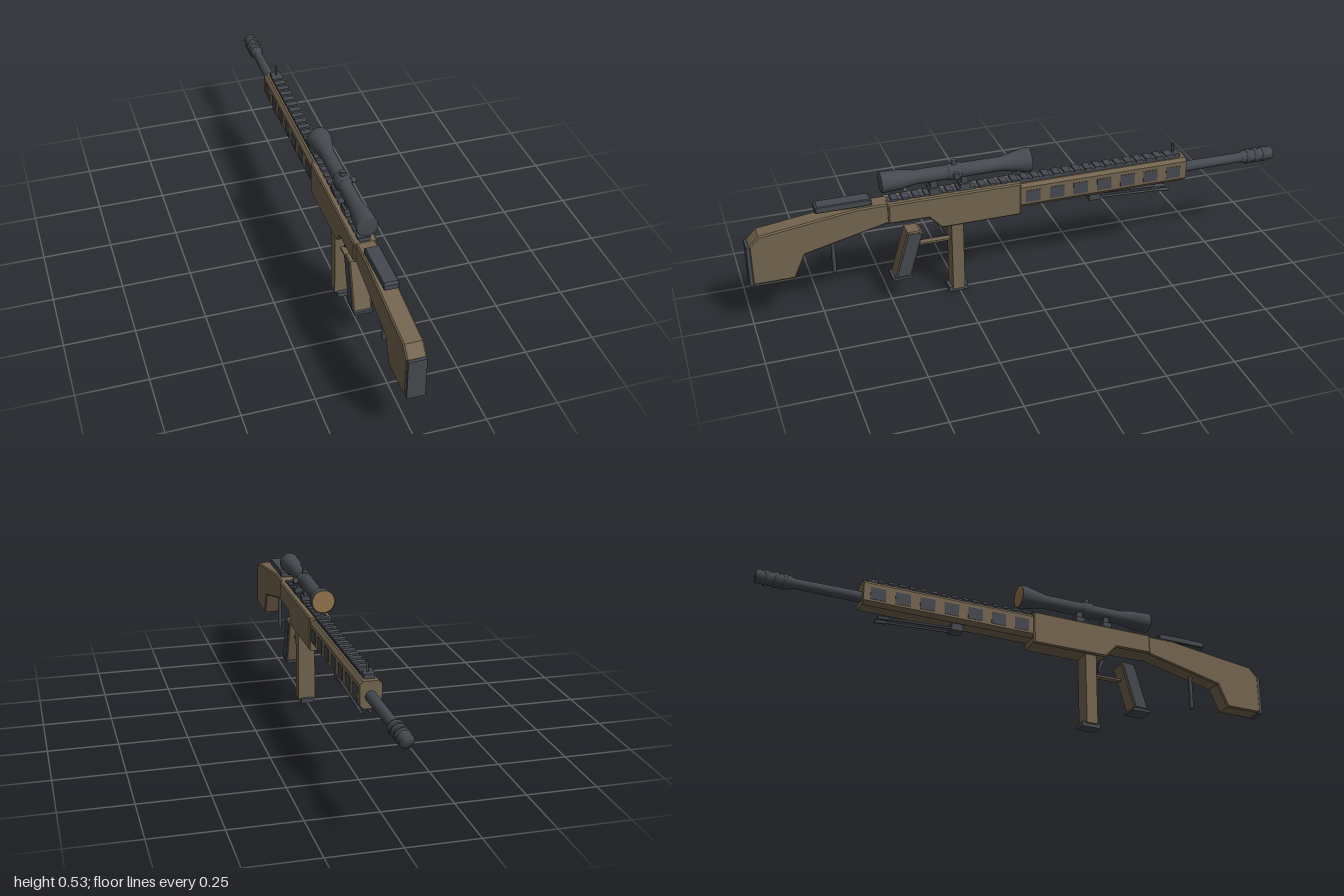
import * as THREE from 'three';

const mat = (name, color) => Object.assign(new THREE.MeshStandardMaterial({ color }), { name });

export function createModel() {
  const root = new THREE.Group();
  root.name = 'scopedRifle';
  const tan = mat('earthTan', 0x74654f);
  const dark = mat('gunmetal', 0x454a50);
  const lensGold = mat('lensAmber', 0x94774c);

  const add = (name, geo, material, parent = root) => {
    const m = new THREE.Mesh(geo, material);
    m.name = name;
    parent.add(m);
    return m;
  };
  const group = (name) => {
    const g = new THREE.Group();
    g.name = name;
    root.add(g);
    return g;
  };
  // Box given by half width and its y and z extents
  const box = (name, hw, y0, y1, z0, z1, material, parent, x = 0) => {
    const m = add(name, new THREE.BoxGeometry(hw * 2, y1 - y0, Math.abs(z1 - z0)), material, parent);
    m.position.set(x, (y0 + y1) / 2, (z0 + z1) / 2);
    return m;
  };
  // Side profile in [z, y], extruded across x with a narrow bevel
  const slab = (name, pts, hw, material, parent, bevel = 0.005, x = 0) => {
    const shape = new THREE.Shape(pts.map(([z, y]) => new THREE.Vector2(z, y)));
    const depth = (hw - bevel) * 2;
    const geo = new THREE.ExtrudeGeometry(shape, {
      depth, bevelEnabled: bevel > 0, bevelSize: bevel, bevelThickness: bevel, bevelOffset: -bevel, bevelSegments: 1,
    });
    geo.translate(0, 0, -depth / 2).rotateY(-Math.PI / 2).translate(x, 0, 0);
    return add(name, geo, material, parent);
  };
  // Turned part along z from [z, radius] points running toward +z
  const turned = (name, pts, y, material, parent, seg = 24) => {
    const p = pts.map(([z, r]) => new THREE.Vector2(r, z));
    const geo = new THREE.LatheGeometry(p, seg).rotateX(Math.PI / 2);
    const m = add(name, geo, material, parent);
    m.position.y = y;
    return m;
  };
  const rod = (name, a, b, r, material, parent) => {
    const path = new THREE.LineCurve3(new THREE.Vector3(...a), new THREE.Vector3(...b));
    const geo = new THREE.CylinderGeometry(r, r, path.getLength(), 10);
    const m = add(name, geo, material, parent);
    m.position.copy(path.getPoint(0.5));
    m.quaternion.setFromUnitVectors(new THREE.Vector3(0, 1, 0), path.getTangent(0));
    return m;
  };

  // Shoulder stock, butt pad, cheek rest and rear support
  const stock = group('stock');
  slab('stockBody', [[0.99, 0.178], [0.843, 0.178], [0.803, 0.265], [0.5, 0.336], [0.5, 0.41],
    [0.61, 0.41], [0.955, 0.365], [0.99, 0.33]], 0.034, tan, stock);
  box('buttPad', 0.031, 0.175, 0.328, 0.982, 1, dark, stock);
  slab('cheekRest', [[0.557, 0.412], [0.755, 0.412], [0.755, 0.43], [0.747, 0.437], [0.565, 0.437], [0.557, 0.43]],
    0.026, dark, stock, 0.003);
  rod('rearSupport', [0, 0.157, 0.7], [0, 0.29, 0.7], 0.0075, dark, stock);

  // Receiver
  slab('receiver', [[0.505, 0.335], [0.36, 0.333], [0.315, 0.285], [0.018, 0.285], [0.018, 0.411], [0.505, 0.411]],
    0.042, tan, root);

  // Handguard with chamfered section and side vents
  const handguard = group('handguard');
  const section = new THREE.Shape([[-0.026, 0.308], [0.026, 0.308], [0.037, 0.322], [0.037, 0.39],
    [0.026, 0.402], [-0.026, 0.402], [-0.037, 0.39], [-0.037, 0.322]].map((p) => new THREE.Vector2(...p)));
  add('handguardBody', new THREE.ExtrudeGeometry(section, { depth: 0.65, bevelEnabled: false })
    .translate(0, 0, -0.63), tan, handguard);
  for (const side of [-1, 1]) {
    for (let i = 0; i < 7; i++) {
      const z = -0.028 - i * 0.0915;
      box('vent', 0.002, 0.33, 0.376, z - 0.028, z + 0.028, dark, handguard, side * 0.0365);
    }
  }

  // Top rail with cross teeth
  const rail = group('topRail');
  box('railBase', 0.019, 0.4, 0.413, -0.6, 0.5, dark, rail);
  for (let i = 0; i < 27; i++) {
    const z = 0.475 - i * 0.04;
    box('railTooth', 0.022, 0.41, 0.419, z - 0.012, z + 0.012, dark, rail);
  }

  // Front sight
  box('sightBase', 0.018, 0.4, 0.418, -0.61, -0.565, dark);
  rod('sightPost', [0, 0.41, -0.587], [0, 0.456, -0.587], 0.004, dark, root);

  // Barrel and ribbed muzzle brake
  const barrel = group('barrel');
  turned('barrelTube', [[-0.89, 0], [-0.89, 0.018], [-0.6, 0.02], [-0.6, 0]], 0.349, dark, barrel);
  turned('muzzleBrake', [[-1, 0], [-1, 0.024], [-0.885, 0.024], [-0.868, 0.018]], 0.349, dark, barrel);
  for (const z of [-0.965, -0.932, -0.9]) {
    turned('brakeRib', [[z - 0.007, 0.02], [z - 0.007, 0.0275], [z + 0.007, 0.0275], [z + 0.007, 0.02]], 0.349, dark, barrel);
  }

  // Scope, turrets and mounts
  const scope = group('scope');
  const sy = 0.482;
  turned('scopeTube', [[-0.024, 0.038], [-0.024, 0.044], [0.0, 0.043], [0.08, 0.026], [0.4, 0.026],
    [0.45, 0.035], [0.515, 0.038], [0.52, 0.035], [0.52, 0]], sy, dark, scope, 28);
  const lens = add('objectiveLens', new THREE.CircleGeometry(0.041, 28).rotateY(Math.PI), lensGold, scope);
  lens.position.set(0, sy, -0.0245);
  turned('turretCollar', [[0.23, 0.025], [0.235, 0.03], [0.275, 0.03], [0.28, 0.025]], sy, dark, scope);
  rod('topTurret', [0, sy, 0.255], [0, 0.527, 0.255], 0.011, dark, scope);
  rod('sideTurret', [0, sy, 0.255], [0.046, sy, 0.255], 0.011, dark, scope);
  for (const z of [0.332, 0.22]) {
    box('mountFoot', 0.024, 0.412, 0.437, z - 0.018, z + 0.018, dark, scope);
    box('mountNeck', 0.016, 0.435, 0.465, z - 0.012, z + 0.012, dark, scope);
  }

  // Pistol grip with dark side panels
  const grip = group('grip');
  slab('gripBody', [[0.49, 0.104], [0.432, 0.104], [0.382, 0.272], [0.392, 0.281], [0.438, 0.281]], 0.033, tan, grip, 0.004);
  for (const x of [-0.0335, 0.0335]) {
    slab('gripPanel', [[0.483, 0.108], [0.437, 0.108], [0.388, 0.271], [0.434, 0.277]], 0.002, dark, grip, 0, x);
  }
  box('gripCap', 0.033, 0.094, 0.104, 0.426, 0.5, dark, grip);

  // Trigger and guard
  const trigger = group('trigger');
  slab('triggerBlade', [[0.325, 0.29], [0.31, 0.29], [0.298, 0.236], [0.304, 0.234]], 0.006, dark, trigger, 0);
  box('triggerGuard', 0.012, 0.212, 0.219, 0.27, 0.39, tan, trigger);

  // Magazine
  box('magazine', 0.032, 0.013, 0.29, 0.233, 0.277, tan);
  box('magazineFoot', 0.024, 0, 0.018, 0.219, 0.291, dark);

  // Folded bipod
  const bipod = group('bipod');
  box('bipodBlock', 0.022, 0.282, 0.31, -0.295, -0.252, dark, bipod);
  for (const x of [-0.016, 0.016]) {
    rod('bipodLeg', [x, 0.29, -0.28], [x, 0.277, -0.54], 0.0045, dark, bipod);
    rod('bipodFoot', [x, 0.277, -0.53], [x, 0.274, -0.57], 0.0065, dark, bipod);
  }
  return root;
}
